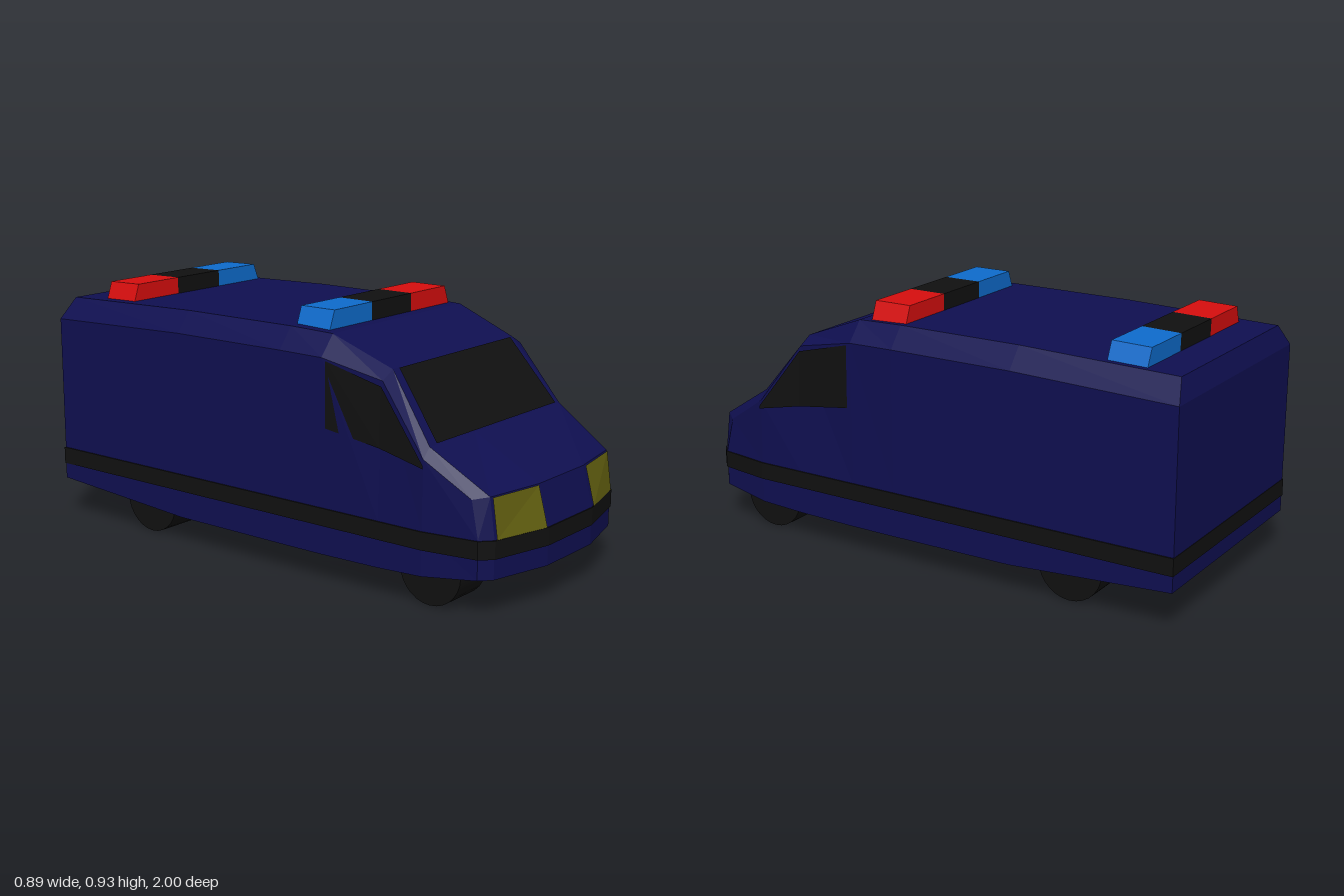
import * as THREE from 'three';

const mat = (name, color) => {
  const m = new THREE.MeshStandardMaterial({ color });
  m.name = name;
  return m;
};

// Flat-shaded surface through rows of [x, y, z] points
function grid(rows) {
  const pos = [];
  for (let i = 0; i + 1 < rows.length; i++) {
    for (let j = 0; j + 1 < rows[i].length; j++) {
      const a = rows[i][j], b = rows[i][j + 1], c = rows[i + 1][j + 1], d = rows[i + 1][j];
      pos.push(...a, ...b, ...c, ...a, ...c, ...d);
    }
  }
  const g = new THREE.BufferGeometry();
  g.setAttribute('position', new THREE.Float32BufferAttribute(pos, 3));
  g.computeVertexNormals();
  return g;
}

const mirrorRow = (row) => row.map(([x, y, z]) => [-x, y, z]).reverse();
const fullRow = (half) => [...mirrorRow(half), ...half];

export function createModel() {
  const van = new THREE.Group();
  van.name = 'van';
  const navy = mat('navy paint', 0x0f0f50);
  const black = mat('black', 0x101010);
  const yellow = mat('headlight yellow', 0x625f10);
  const red = mat('beacon red', 0xd60e0e);
  const blue = mat('beacon blue', 0x0e6bcc);

  const add = (name, geometry, material, parent = van) => {
    const mesh = new THREE.Mesh(geometry, material);
    mesh.name = name;
    parent.add(mesh);
    return mesh;
  };

  // Body stations, front to back; half sections run inner roof, roof edge, shoulder, waist, sill
  const station = (z, roofX, roofY, shX, shY, sillY, roofZ = z) => [
    [0.14, roofY, roofZ], [roofX, roofY, roofZ], [shX, shY, z], [0.44, 0.27, z], [0.442, sillY, z],
  ];
  const nose = [
    [0.14, 0.41, 0.957], [0.37, 0.41, 0.917], [0.405, 0.4, 0.87], [0.41, 0.27, 0.9], [0.41, 0.135, 0.9],
  ];
  const stations = [
    nose,
    station(0.7, 0.4, 0.545, 0.435, 0.51, 0.115),
    station(0.52, 0.36, 0.77, 0.415, 0.74, 0.107),
    station(0.28, 0.375, 0.862, 0.437, 0.79, 0.103),
    station(0.1, 0.38, 0.868, 0.44, 0.793, 0.103),
    station(-0.38, 0.38, 0.868, 0.44, 0.793, 0.105),
    station(-1, 0.38, 0.853, 0.44, 0.775, 0.147, -0.975),
  ];
  const body = new THREE.Group();
  body.name = 'body';
  van.add(body);
  add('bodyShell', grid(stations.map(fullRow)), navy, body);

  // Nose, wrapping round to the sides
  const noseRow = (y) => fullRow([[0.14, y, 0.996], [0.37, y, 0.937], [0.41, y, 0.9]]);
  add('nosePanel', grid([noseRow(0.135), noseRow(0.27), fullRow(nose.slice(0, 3))]), navy, body);

  // Back wall with its sloped top corners
  const last = stations[stations.length - 1];
  add('backPanel', grid([1, 2, 3, 4].map((k) => fullRow([last[k]]))), navy, body);

  // Floor
  const floorRows = stations.slice(1).map((s) => {
    const [x, y, z] = s[4];
    return fullRow([[0.14, y, z], [0.37, y, z], [x, y, z]]);
  });
  add('floor', grid([noseRow(0.135), ...floorRows].reverse()), navy, body);

  // Bumper stripe all the way round
  const plan = [[0.14, 1], [0.373, 0.942], [0.414, 0.902], [0.445, 0.7], [0.445, -1.002]];
  const outline = [...plan, ...plan.map(([x, z]) => [-x, z]).reverse()];
  const band = new THREE.ExtrudeGeometry(
    new THREE.Shape(outline.map(([x, z]) => new THREE.Vector2(x, -z))),
    { depth: 0.063, bevelEnabled: false },
  );
  band.rotateX(-Math.PI / 2).translate(0, 0.206, 0);
  add('bumperStripe', band, black);

  // Windscreen
  const screen = grid([fullRow([[0.367, 0.547, 0.7]]), fullRow([[0.335, 0.768, 0.523]])]);
  add('windscreen', screen.translate(0, 0.004, 0.005), black);

  // Side windows and headlights, mirrored
  const sideWindow = [
    [[0.44, 0.55, 0.297], [0.437, 0.78, 0.297]],
    [[0.434, 0.517, 0.52], [0.423, 0.722, 0.52]],
    [[0.443, 0.48, 0.703], [0.442, 0.49, 0.703]],
  ];
  const headlight = [
    [[0.15, 0.27, 0.999], [0.365, 0.27, 0.944]],
    [[0.15, 0.408, 0.962], [0.365, 0.408, 0.924]],
  ];
  add('leftSideWindow', grid(sideWindow), black);
  add('rightSideWindow', grid(sideWindow.map(mirrorRow)), black);
  add('leftHeadlight', grid(headlight), yellow);
  add('rightHeadlight', grid(headlight.map(mirrorRow)), yellow);

  // Roof light bars: black middle with a sloped beacon at each end
  const slab = (points) => new THREE.ExtrudeGeometry(
    new THREE.Shape(points.map(([x, y]) => new THREE.Vector2(x, y))),
    { depth: 0.146, bevelEnabled: false },
  ).translate(0, 0, -0.073);
  const lightBar = (name, y, z, leftMat, rightMat) => {
    const bar = new THREE.Group();
    bar.name = name;
    bar.position.set(0.01, y, z);
    van.add(bar);
    add('barCentre', slab([[-0.115, -0.01], [0.115, -0.01], [0.115, 0.063], [-0.115, 0.063]]), black, bar);
    add('leftBeacon', slab([[0.115, -0.01], [0.352, -0.01], [0.324, 0.063], [0.115, 0.063]]), leftMat, bar);
    add('rightBeacon', slab([[-0.115, 0.063], [-0.324, 0.063], [-0.352, -0.01], [-0.115, -0.01]]), rightMat, bar);
    return bar;
  };
  lightBar('frontLightBar', 0.866, 0.165, red, blue);
  lightBar('rearLightBar', 0.857, -0.772, blue, red).rotation.x = -0.025;

  // Wheels
  const wheel = new THREE.CylinderGeometry(0.123, 0.123, 0.152, 28).rotateZ(Math.PI / 2);
  for (const [end, z] of [['front', 0.7], ['rear', -0.587]]) {
    for (const [side, x] of [['Left', 0.305], ['Right', -0.313]]) {
      add(`${end}${side}Wheel`, wheel, black).position.set(x, 0.123, z);
    }
  }
  return van;
}
